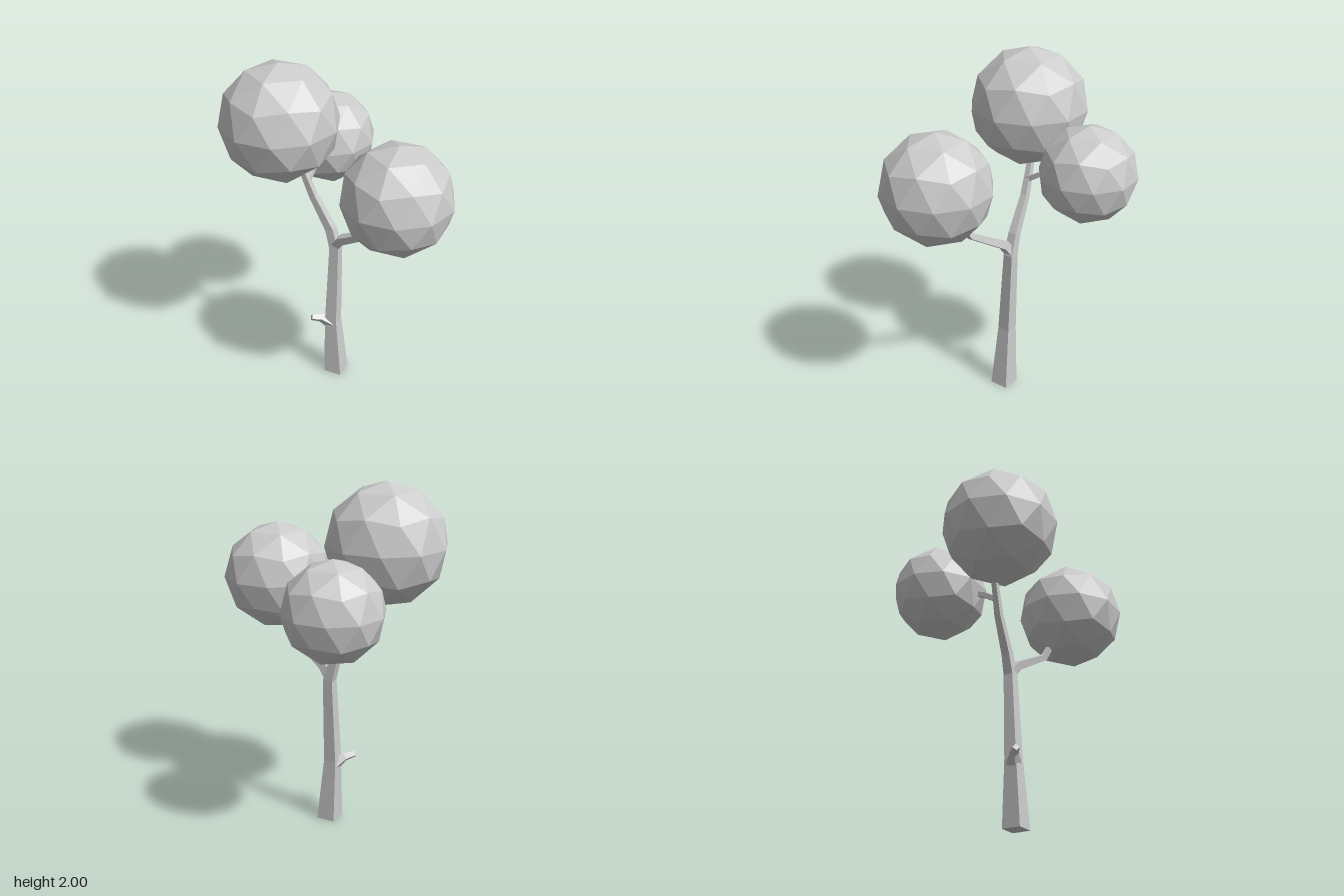
import * as THREE from 'three';

const material = new THREE.MeshStandardMaterial({ color: 0xcccccc, flatShading: true });
const CORNER_ANGLE = 0.19;

// Four-sided tapering limb lofted along points [x, y, z, half diagonal]
function limb(name, points) {
  const centres = points.map(([x, y, z]) => new THREE.Vector3(x, y, z));
  const up = new THREE.Vector3(0, 1, 0);
  const last = points.length - 1;
  const positions = [];
  const index = [];

  centres.forEach((centre, i) => {
    const before = centres[Math.max(i - 1, 0)];
    const after = centres[Math.min(i + 1, last)];
    const tangent = after.clone().sub(before).normalize();
    if (centre.y === 0) tangent.copy(up); // flat foot on the ground
    const turn = new THREE.Quaternion().setFromUnitVectors(up, tangent);
    for (let j = 0; j < 4; j++) {
      const a = CORNER_ANGLE + (j * Math.PI) / 2;
      const r = points[i][3];
      const corner = new THREE.Vector3(r * Math.cos(a), 0, r * Math.sin(a));
      positions.push(...corner.applyQuaternion(turn).add(centre).toArray());
    }
  });

  for (let i = 0; i < last; i++) {
    for (let j = 0; j < 4; j++) {
      const a = i * 4 + j;
      const b = i * 4 + ((j + 1) % 4);
      index.push(a, a + 4, b, b, a + 4, b + 4);
    }
  }
  const t = last * 4;
  index.push(0, 1, 2, 0, 2, 3, t, t + 2, t + 1, t, t + 3, t + 2);

  const geometry = new THREE.BufferGeometry();
  geometry.setAttribute('position', new THREE.Float32BufferAttribute(positions, 3));
  geometry.setIndex(index);
  geometry.computeVertexNormals();
  const mesh = new THREE.Mesh(geometry, material);
  mesh.name = name;
  return mesh;
}

// Faceted ball of leaves, standing on one icosahedron corner
function foliage(name, radius, x, y, z) {
  const geometry = new THREE.IcosahedronGeometry(radius, 1);
  geometry.rotateZ(-Math.atan(2 / (1 + Math.sqrt(5))));
  const mesh = new THREE.Mesh(geometry, material);
  mesh.name = name;
  mesh.position.set(x, y, z);
  return mesh;
}

export function createModel() {
  const tree = new THREE.Group();
  tree.name = 'tree';

  // Trunk, running on into the rear branch
  tree.add(limb('trunk', [
    [0.047, 0, -0.025, 0.077],
    [0.038, 0.38, -0.046, 0.052],
    [0.062, 0.88, -0.057, 0.04],
    [0.045, 1.0, -0.085, 0.035],
    [-0.02, 1.2, -0.17, 0.027],
    [-0.08, 1.42, -0.23, 0.02],
  ]));

  // Front branch with its bent tip
  tree.add(limb('frontBranch', [
    [0.06, 0.89, -0.06, 0.034],
    [0.075, 0.955, -0.01, 0.034],
    [0.155, 1.085, 0.205, 0.024],
    [0.15, 1.18, 0.255, 0.019],
    [0.15, 1.3, 0.3, 0.015],
  ]));

  // Twig from the rear branch to the small crown
  tree.add(limb('sideTwig', [
    [-0.045, 1.28, -0.19, 0.02],
    [0.02, 1.33, -0.24, 0.02],
    [0.16, 1.39, -0.36, 0.015],
  ]));

  // Short broken stub low on the trunk
  tree.add(limb('stub', [
    [0.03, 0.35, -0.05, 0.045],
    [-0.03, 0.39, -0.075, 0.026],
    [-0.085, 0.405, -0.09, 0.02],
  ]));

  // Three crowns
  tree.add(foliage('largeCrown', 0.334, -0.18, 1.666, -0.245));
  tree.add(foliage('frontCrown', 0.309, 0.165, 1.4, 0.391));
  tree.add(foliage('smallCrown', 0.273, 0.236, 1.398, -0.432));

  return tree;
}
